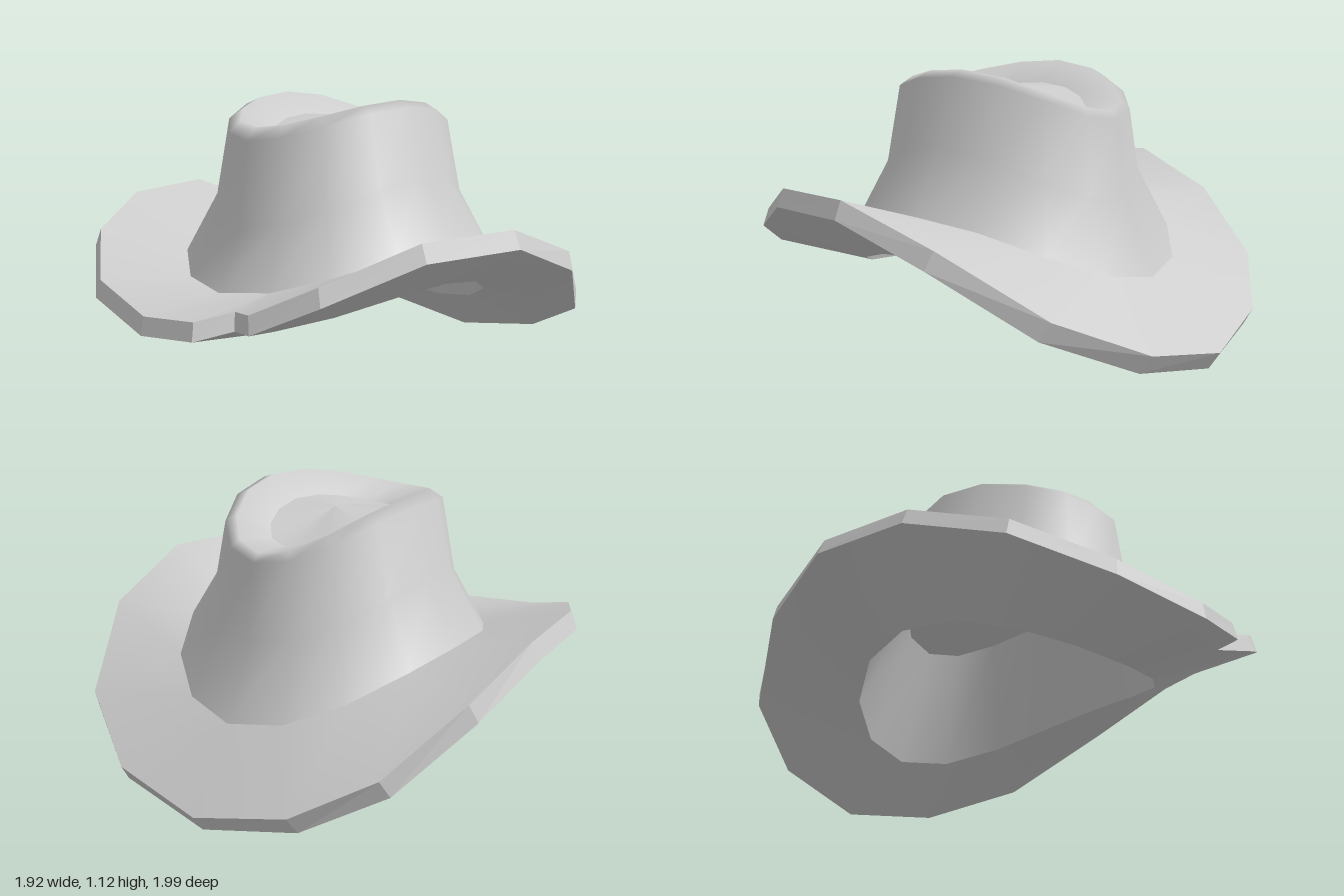
import * as THREE from 'three';

const SIDES = 16;

// Oval ring: half width, front and back z, heights at front, sides and back.
// Starts at the front and runs towards +x.
function oval(rx, zF, zB, yF, yS, yB) {
  const zc = (zF + zB) / 2, rz = (zF - zB) / 2;
  return Array.from({ length: SIDES }, (_, i) => {
    const a = (i / SIDES) * Math.PI * 2, c = Math.cos(a);
    return [rx * Math.sin(a), yS + ((c > 0 ? yF : yB) - yS) * c * c, zc + rz * c];
  });
}

const point = (x, y, z) => Array.from({ length: SIDES }, () => [x, y, z]);

// Skin between successive closed rings of equal length
function loft(rings, flat = false) {
  const n = rings[0].length, index = [];
  for (let r = 0; r < rings.length - 1; r++) {
    for (let i = 0; i < n; i++) {
      const j = (i + 1) % n, a = r * n, b = a + n;
      index.push(a + i, a + j, b + j, a + i, b + j, b + i);
    }
  }
  let geo = new THREE.BufferGeometry();
  geo.setAttribute('position', new THREE.Float32BufferAttribute(rings.flat(2), 3));
  geo.setIndex(index);
  if (flat) geo = geo.toNonIndexed();
  geo.computeVertexNormals();
  return geo;
}

export function createModel() {
  const group = new THREE.Group();
  const felt = new THREE.MeshStandardMaterial({ color: 0xcccccc });
  felt.name = 'grey felt';
  const add = (name, rings, flat) => {
    const mesh = new THREE.Mesh(loft(rings, flat), felt);
    mesh.name = name;
    group.add(mesh);
  };

  // Lower edge of the curled brim, with a notch near the front left
  const rimBottom = [
    [-0.02, 0.295, 0.99], [0.22, 0.305, 0.95], [0.285, 0.33, 0.805], [0.43, 0.35, 0.87],
    [0.65, 0.46, 0.735], [0.86, 0.6, 0.42], [0.96, 0.61, 0.01], [0.92, 0.47, -0.38],
    [0.71, 0.23, -0.72], [0.36, 0.07, -0.91], [-0.06, 0, -0.95], [-0.455, 0.085, -0.88],
    [-0.74, 0.245, -0.71], [-0.91, 0.47, -0.41], [-0.96, 0.61, -0.08], [-0.9, 0.6, 0.33],
    [-0.71, 0.5, 0.67], [-0.4, 0.365, 0.905],
  ];
  // Upper edge, shifted along the brim's tilt
  const rimTop = rimBottom.map(([x, y, z]) => [x * 0.967, y + 0.07, z * (z < 0 ? 1.052 : 0.985)]);
  // The three notch points share one point of the crown ring
  const toRim = (ring) => rimBottom.map((_, i) => ring[i < 2 ? i : Math.max(1, i - 2)]);

  const crownBase = oval(0.59, 0.625, -0.73, 0.4, 0.575, 0.335);
  const opening = oval(0.56, 0.59, -0.69, 0.245, 0.415, 0.19);
  const ceiling = oval(0.36, 0.45, -0.53, 0.66, 0.8, 0.65);
  const dishEdge = oval(0.2, 0.28, -0.38, 0.97, 1.03, 0.95);

  // Brim
  add('brimTop', [rimTop, toRim(crownBase)]);
  add('brimEdge', [rimBottom, rimTop], true);
  add('brimUnderside', [toRim(opening), rimBottom]);

  // Crown wall and rolled lip
  add('crown', [
    crownBase,
    oval(0.44, 0.515, -0.6, 0.63, 0.82, 0.62),
    oval(0.375, 0.475, -0.56, 0.97, 1.09, 0.93),
    oval(0.315, 0.43, -0.53, 1.02, 1.115, 0.96),
    dishEdge,
  ]);
  add('crownDish', [dishEdge, point(0, 1.035, -0.05)]);

  // Hollow inside
  add('innerWall', [ceiling, opening]);
  add('innerCeiling', [point(0, 0.8, -0.04), ceiling]);

  return group;
}
